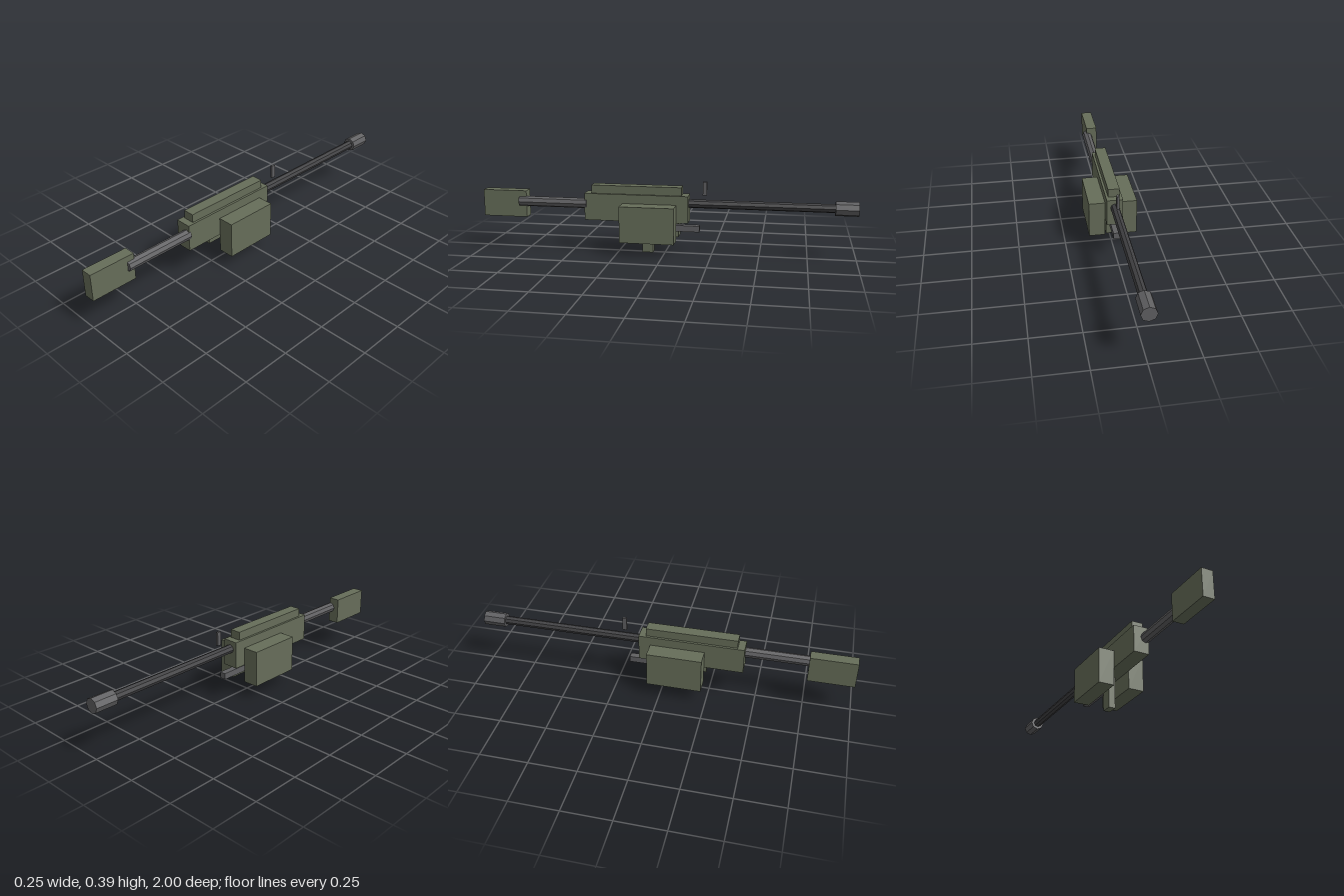
import * as THREE from 'three';

export function createModel() {
  const model = new THREE.Group();
  const mat = (name, color) => {
    const m = new THREE.MeshStandardMaterial({ color, flatShading: true });
    m.name = name;
    return m;
  };
  const olive = mat('olive', 0x666d59);
  const steel = mat('steel grey', 0x606062);
  const darkSteel = mat('dark steel', 0x414143);

  const add = (name, geometry, material) => {
    const mesh = new THREE.Mesh(geometry, material);
    mesh.name = name;
    model.add(mesh);
  };
  // Box given by its limits along each axis
  const box = (name, material, [x0, x1], [y0, y1], [z0, z1]) =>
    add(name, new THREE.BoxGeometry(x1 - x0, y1 - y0, z1 - z0)
      .translate((x0 + x1) / 2, (y0 + y1) / 2, (z0 + z1) / 2), material);
  // Eight-sided rod lying along z
  const rod = (name, material, radius, x, y, [z0, z1]) =>
    add(name, new THREE.CylinderGeometry(radius, radius, z1 - z0, 8)
      .rotateX(Math.PI / 2).translate(x, y, (z0 + z1) / 2), material);

  // Body
  box('receiver', olive, [-0.042, 0.042], [0.172, 0.316], [-0.127, 0.43]);
  box('topCover', olive, [-0.03, 0.03], [0.31, 0.36], [-0.09, 0.393]);
  box('grip', olive, [-0.018, 0.018], [0, 0.175], [0.063, 0.122]);

  // Ammunition boxes on both sides
  for (const [name, s] of [['leftAmmoBox', 1], ['rightAmmoBox', -1]]) {
    const xs = [s * 0.042, s * 0.127].sort((a, b) => a - b);
    box(name, olive, xs, [0.075, 0.268], [-0.065, 0.224]);
  }

  // Stock and its tube, set slightly off centre
  rod('stockTube', steel, 0.0275, 0.024, 0.259, [0.42, 0.797]);
  box('stock', olive, [-0.03, 0.03], [0.172, 0.316], [0.758, 1]);

  // Barrel end
  rod('barrel', darkSteel, 0.023, 0, 0.272, [-0.89, -0.12]);
  rod('muzzle', steel, 0.038, 0, 0.272, [-1, -0.882]);
  box('frontSight', steel, [-0.006, 0.006], [0.318, 0.39], [-0.222, -0.2]);
  box('lowerBar', steel, [-0.017, 0.017], [0.121, 0.154], [-0.185, 0.07]);

  return model;
}
